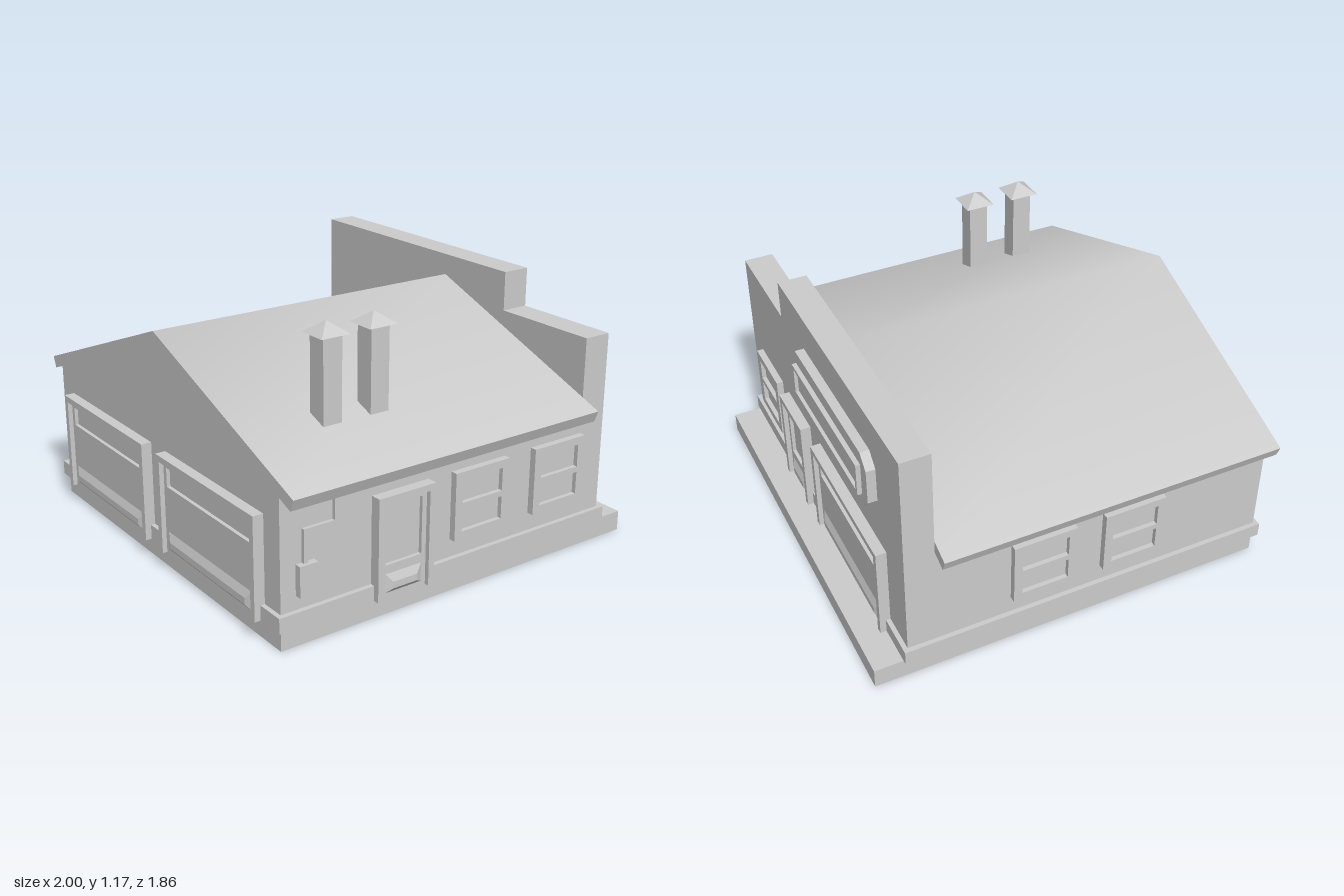
import * as THREE from 'three';
import { toCreasedNormals } from 'three/addons/utils/BufferGeometryUtils.js';

const flat = new THREE.MeshStandardMaterial({ color: 0xcccccc, flatShading: true });
const smooth = new THREE.MeshStandardMaterial({ color: 0xcccccc });
const shell = new THREE.MeshStandardMaterial({ color: 0xcccccc, flatShading: true, side: THREE.DoubleSide });

function add(parent, name, geo) {
  const m = new THREE.Mesh(geo, flat);
  m.name = name;
  parent.add(m);
  return m;
}

// Box given by its minimum and maximum corners
function box(parent, name, [x0, y0, z0], [x1, y1, z1]) {
  const m = add(parent, name, new THREE.BoxGeometry(x1 - x0, y1 - y0, z1 - z0));
  m.position.set((x0 + x1) / 2, (y0 + y1) / 2, (z0 + z1) / 2);
  return m;
}

const toPoints = (pts) => pts.map(([x, y]) => new THREE.Vector2(x, y));
const rect = (x0, y0, x1, y1) => [[x0, y0], [x1, y0], [x1, y1], [x0, y1]];

// Outline with optional holes, extruded from z0 to z1
function slab(parent, name, outline, holes, z0, z1) {
  const shape = new THREE.Shape(toPoints(outline));
  holes.forEach((h) => shape.holes.push(new THREE.Path(toPoints(h))));
  const geo = new THREE.ExtrudeGeometry(shape, { depth: z1 - z0, bevelEnabled: false });
  geo.translate(0, 0, z0);
  return add(parent, name, geo);
}

// Raised panel with four sloping sides
function raisedPanel(parent, x0, x1, y0, y1, z, h) {
  const geo = new THREE.BoxGeometry(x1 - x0, y1 - y0, h);
  const p = geo.attributes.position;
  for (let i = 0; i < p.count; i++) {
    if (p.getZ(i) < 0) continue;
    p.setX(i, p.getX(i) - Math.sign(p.getX(i)) * 0.03);
    p.setY(i, p.getY(i) > 0 ? p.getY(i) - 0.035 : p.getY(i) + 0.018);
  }
  const m = add(parent, 'kickPanel', geo);
  m.position.set((x0 + x1) / 2, (y0 + y1) / 2, z + h / 2);
}

// Door of width w, built facing +z with its wall at z = 0
function door(name, w, glassBottom) {
  const g = new THREE.Group(), a = w / 2, b = a - 0.028, c = a - 0.05;
  g.name = name;
  slab(g, 'doorFrame', [[-a, 0.09], [-b, 0.09], [-b, 0.502], [b, 0.502],
    [b, 0.09], [a, 0.09], [a, 0.53], [-a, 0.53]], [], 0, 0.047);
  slab(g, 'doorLeaf', rect(-b, 0.09, b, 0.502), [rect(-c, glassBottom, c, 0.48)], 0, 0.026);
  box(g, 'doorGlass', [-c, glassBottom, 0], [c, 0.48, 0.01]);
  raisedPanel(g, -c, c, 0.11, 0.192, 0.026, 0.014);
  return g;
}

// Two-pane window
function sashWindow() {
  const g = new THREE.Group();
  g.name = 'window';
  slab(g, 'windowFrame', rect(-0.142, 0.235, 0.142, 0.53),
    [rect(-0.105, 0.27, 0.105, 0.37), rect(-0.105, 0.395, 0.105, 0.495)], 0, 0.03);
  box(g, 'windowGlass', [-0.12, 0.25, 0], [0.12, 0.515, 0.01]);
  return g;
}

export function createModel() {
  const model = new THREE.Group();
  model.name = 'garageBuilding';
  const W = 0.907, FRONT = 0.882, BACK = -0.78, PLATE = 0.6323;

  // Foundation: a shell open underneath (the bottom face is left out)
  const foundation = box(model, 'foundation', [-W, 0, -0.928], [W, 0.09, FRONT]);
  const faces = Array.from(foundation.geometry.index.array);
  foundation.geometry.setIndex(faces.filter((_, i) => i < 18 || i >= 24));
  foundation.geometry.clearGroups();
  foundation.material = shell;

  // Walls and skirting
  slab(model, 'walls', [[-W, 0.1], [W, 0.1], [W, PLATE], [0, 0.972], [-W, PLATE]], [], -0.66, FRONT);
  box(model, 'skirting', [-0.928, 0.09, -0.8], [0.928, 0.155, 0.902]);

  // Gabled roof with square-cut eaves, shaded smoothly over the ridge
  const roof = slab(model, 'roof', [[0, 0.972], [W, PLATE], [0.98, 0.605], [1, 0.655], [0, 1.03],
    [-1, 0.655], [-0.98, 0.605], [-W, PLATE]], [], -0.65, FRONT);
  roof.geometry = toCreasedNormals(roof.geometry, 0.8);
  roof.material = smooth;

  // Stepped parapet at the back
  slab(model, 'parapet', [[-W, 0.1], [W, 0.1], [W, 0.95], [0.402, 0.95], [0.402, 1.125], [-W, 1.125]],
    [], BACK, -0.65);

  // Place an opening on one wall, at u along x or z
  const place = (part, side, u) => {
    const [pos, turn] = {
      front: [[u, 0, FRONT], 0],
      back: [[u, 0, BACK], Math.PI],
      left: [[W, 0, u], Math.PI / 2],
      right: [[-W, 0, u], -Math.PI / 2],
    }[side];
    part.position.set(...pos);
    part.rotation.y = turn;
    model.add(part);
  };
  for (const s of [-1, 1]) place(door('garageDoor', 0.74, 0.395), 'front', s * 0.43);
  place(door('garageDoor', 0.74, 0.395), 'back', -0.36);
  place(door('entryDoor', 0.278, 0.23), 'back', 0.272);
  place(door('entryDoor', 0.278, 0.23), 'left', 0.322);
  place(sashWindow(), 'back', 0.638);
  for (const z of [-0.505, -0.077]) place(sashWindow(), 'left', z);
  for (const z of [-0.178, 0.238]) place(sashWindow(), 'right', z);

  // Blank sign board with cut corners and a raised rim
  const sign = new THREE.Group();
  sign.name = 'signBoard';
  const a = 0.417, h = 0.135, c = 0.055;
  slab(sign, 'signBack', [[-a + c, -h], [a - c, -h], [a, -h + c], [a, h - c],
    [a - c, h], [-a + c, h], [-a, h - c], [-a, -h + c]],
  [rect(-0.36, -0.075, 0.36, 0.075)], 0, 0.04);
  slab(sign, 'signRim', rect(-0.36, -0.075, 0.36, 0.075),
    [rect(-0.342, -0.058, 0.342, 0.058)], 0, 0.06);
  box(sign, 'signFace', [-0.35, -0.066, 0], [0.35, 0.066, 0.045]);
  place(sign, 'back', -0.25);
  sign.position.y = 0.833;

  // Electric meter with its conduit
  box(model, 'meterBox', [W, 0.215, 0.73], [0.937, 0.345, 0.813]);
  box(model, 'conduitLower', [W, 0.345, 0.765], [0.922, 0.485, 0.785]);
  box(model, 'conduitMiddle', [W, 0.465, 0.645], [0.922, 0.485, 0.765]);
  box(model, 'conduitUpper', [W, 0.465, 0.63], [0.922, 0.625, 0.645]);

  // Chimneys with pyramid caps
  for (const z of [0.275, 0.501]) {
    box(model, 'chimney', [0.62, 0.76, z - 0.044], [0.708, 1.122, z + 0.044]);
    const cap = add(model, 'chimneyCap', new THREE.ConeGeometry(0.067 * Math.SQRT2, 0.05, 4)
      .rotateY(Math.PI / 4));
    cap.position.set(0.664, 1.147, z);
  }
  return model;
}
